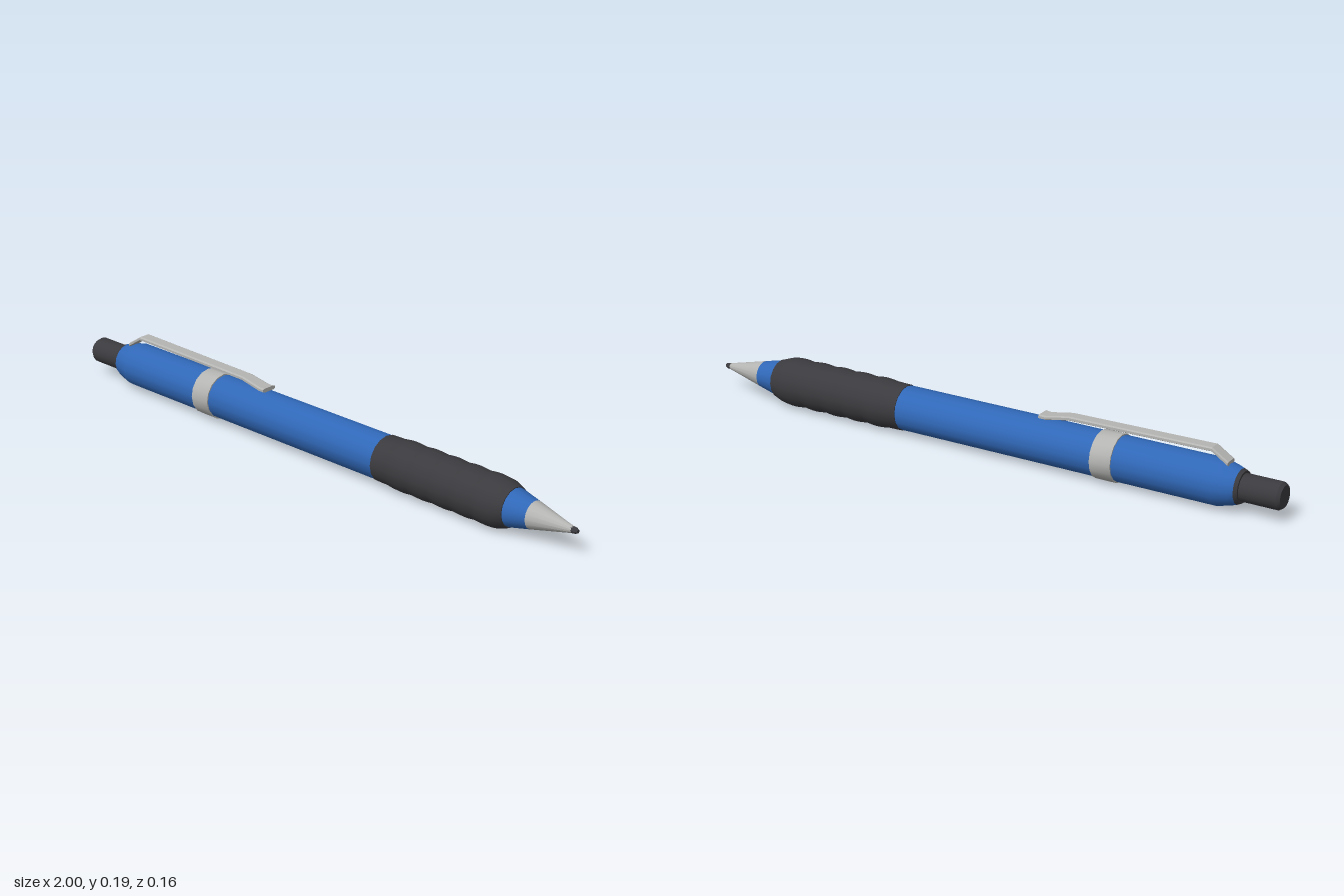
import * as THREE from 'three';
import { toCreasedNormals } from 'three/addons/utils/BufferGeometryUtils.js';

const AXIS_Y = 0.079;
const SIDES = 16;

export function createModel() {
  const material = (name, color) => {
    const m = new THREE.MeshStandardMaterial({ color });
    m.name = name;
    return m;
  };
  const blue = material('blue plastic', 0x3068b8);
  const dark = material('dark rubber', 0x3b3a3e);
  const metal = material('light metal', 0xb4b4b2);

  const pencil = new THREE.Group();
  pencil.name = 'mechanicalPencil';

  const add = (name, geometry, mat) => {
    const mesh = new THREE.Mesh(geometry, mat);
    mesh.name = name;
    pencil.add(mesh);
    return mesh;
  };

  // Turned part along x; profile is a list of [x, radius]
  const turned = (name, profile, mat, sides = SIDES) => {
    const points = profile.map(([x, r]) => new THREE.Vector2(r, x));
    const geometry = new THREE.LatheGeometry(points, sides).rotateZ(-Math.PI / 2);
    add(name, toCreasedNormals(geometry, 0.5), mat).position.y = AXIS_Y;
  };

  // Push button and the ring it slides through
  turned('pushButton', [[-1, 0], [-1, 0.035], [-0.99, 0.042], [-0.865, 0.042]], dark);
  turned('buttonRing', [[-0.873, 0.04], [-0.873, 0.049], [-0.862, 0.054]], dark);

  // Barrel with rounded rear end
  turned('barrel', [
    [-0.862, 0.054], [-0.845, 0.06], [-0.8, 0.071], [0.287, 0.071],
  ], blue);
  turned('band', [
    [-0.475, 0.07], [-0.475, 0.075], [-0.405, 0.075], [-0.405, 0.07],
  ], metal);

  // Rubber grip with five soft swells
  const grip = [[0.287, 0.07], [0.287, 0.073], [0.335, 0.074]];
  const swells = 5, steps = 6, start = 0.34, pitch = 0.08;
  for (let i = 0; i <= swells * steps; i++) {
    const t = i / steps;
    grip.push([start + t * pitch, 0.0745 + 0.0038 * Math.sin(Math.PI * (t % 1))]);
  }
  grip.push([0.775, 0.062], [0.775, 0.055]);
  turned('grip', grip, dark);

  // Nose, metal cone and writing point
  turned('nose', [[0.772, 0.06], [0.845, 0.043]], blue);
  turned('tipCone', [[0.845, 0.043], [0.982, 0.01], [0.982, 0]], metal);
  turned('lead', [[0.975, 0.011], [0.99, 0.01], [1, 0.006], [1, 0]], dark, 8);

  // Clip: a strip with bevelled edges bent through [x, y, halfWidth]
  const path = [
    [-0.828, 0.146, 0.022], [-0.775, 0.18, 0.022], [-0.3, 0.174, 0.022],
    [-0.225, 0.16, 0.024], [-0.203, 0.161, 0.026],
  ];
  const strip = new THREE.BoxGeometry(path.length - 1, 2, 2, path.length - 1, 1, 4);
  const pos = strip.attributes.position;
  for (let i = 0; i < pos.count; i++) {
    const [x, y, half] = path[Math.round(pos.getX(i) + (path.length - 1) / 2)];
    const z = pos.getZ(i);
    const edge = Math.abs(z) > 0.9;
    const across = edge ? z : z * 1.5;
    const rise = pos.getY(i) * (edge ? 0.0035 : 0.0065);
    pos.setXYZ(i, x, y + rise, across * half);
  }
  add('clip', toCreasedNormals(strip, 0.3), metal);

  return pencil;
}
